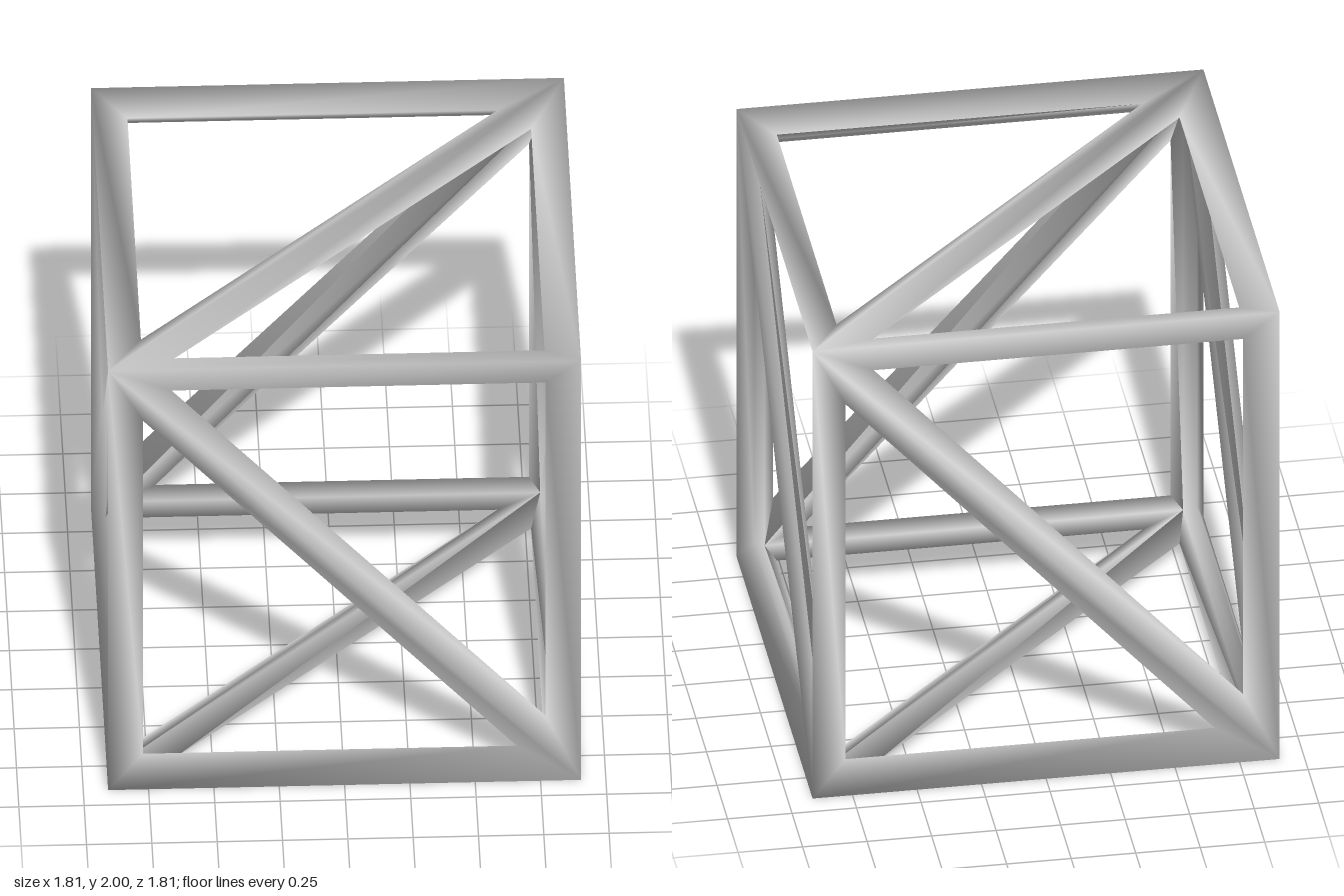
import * as THREE from 'three';

// Braced box frame: every beam has a four-sided section made of an outer ridge,
// an inner ridge and one inset line on each of its two neighbouring faces.
const HALF = new THREE.Vector3(0.905, 1, 0.905); // outer half size
const DEPTH = 0.047; // ridge to face plane
const WIDTH = 0.088; // half width of a beam on the face

// Box corners are numbered by bits: 1 = +x, 2 = +y, 4 = +z.
// Each face runs anticlockwise from outside; its brace joins corners 0 and 2.
const FACES = [
  [6, 4, 5, 7], // front
  [0, 2, 3, 1], // back
  [7, 5, 1, 3], // left
  [6, 2, 0, 4], // right
  [6, 7, 3, 2], // top
  [4, 0, 1, 5], // bottom
];

function corner(i, inset) {
  const s = (bit) => (i & bit ? 1 : -1);
  return new THREE.Vector3(
    s(1) * (HALF.x - inset),
    s(2) * (HALF.y - inset) + HALF.y,
    s(4) * (HALF.z - inset)
  );
}

// Point inside the corner v, at distance WIDTH from both sides of the triangle
function insetPoint(prev, v, next) {
  const a = next.clone().sub(v).normalize();
  const b = prev.clone().sub(v).normalize();
  const sin = a.clone().cross(b).length();
  return v.clone().addScaledVector(a.add(b), WIDTH / sin);
}

function beamKind(i, j) {
  const diff = i ^ j;
  if (diff === 2) return 'uprights';
  return diff === 1 || diff === 4 ? 'rails' : 'diagonalBraces';
}

export function createModel() {
  const points = [];
  for (let i = 0; i < 8; i++) points.push(corner(i, 0)); // outer ridge ends
  for (let i = 0; i < 8; i++) points.push(corner(i, 2 * DEPTH)); // inner ridge ends

  const parts = { uprights: [], rails: [], diagonalBraces: [] };
  const quad = (list, a, b, c, d) => list.push(a, b, c, a, c, d);

  for (const [a, b, c, d] of FACES) {
    for (const tri of [[a, b, c], [a, c, d]]) {
      const base = points.length;
      const v = tri.map((i) => corner(i, DEPTH));
      for (let k = 0; k < 3; k++) points.push(insetPoint(v[(k + 2) % 3], v[k], v[(k + 1) % 3]));
      for (let k = 0; k < 3; k++) {
        const n = (k + 1) % 3;
        const i = tri[k], j = tri[n];
        const list = parts[beamKind(i, j)];
        quad(list, i, j, base + n, base + k); // outward side
        quad(list, j + 8, i + 8, base + k, base + n); // inward side
      }
    }
  }

  // Smooth normals are shared over the whole frame so the joints blend
  const frame = new THREE.BufferGeometry().setFromPoints(points);
  frame.setIndex(Object.values(parts).flat());
  frame.computeVertexNormals();

  const material = new THREE.MeshStandardMaterial({ color: 0xcccccc });
  const group = new THREE.Group();
  group.name = 'bracedBoxFrame';
  for (const [name, index] of Object.entries(parts)) {
    const geometry = frame.clone();
    geometry.setIndex(index);
    const mesh = new THREE.Mesh(geometry, material);
    mesh.name = name;
    group.add(mesh);
  }
  return group;
}
